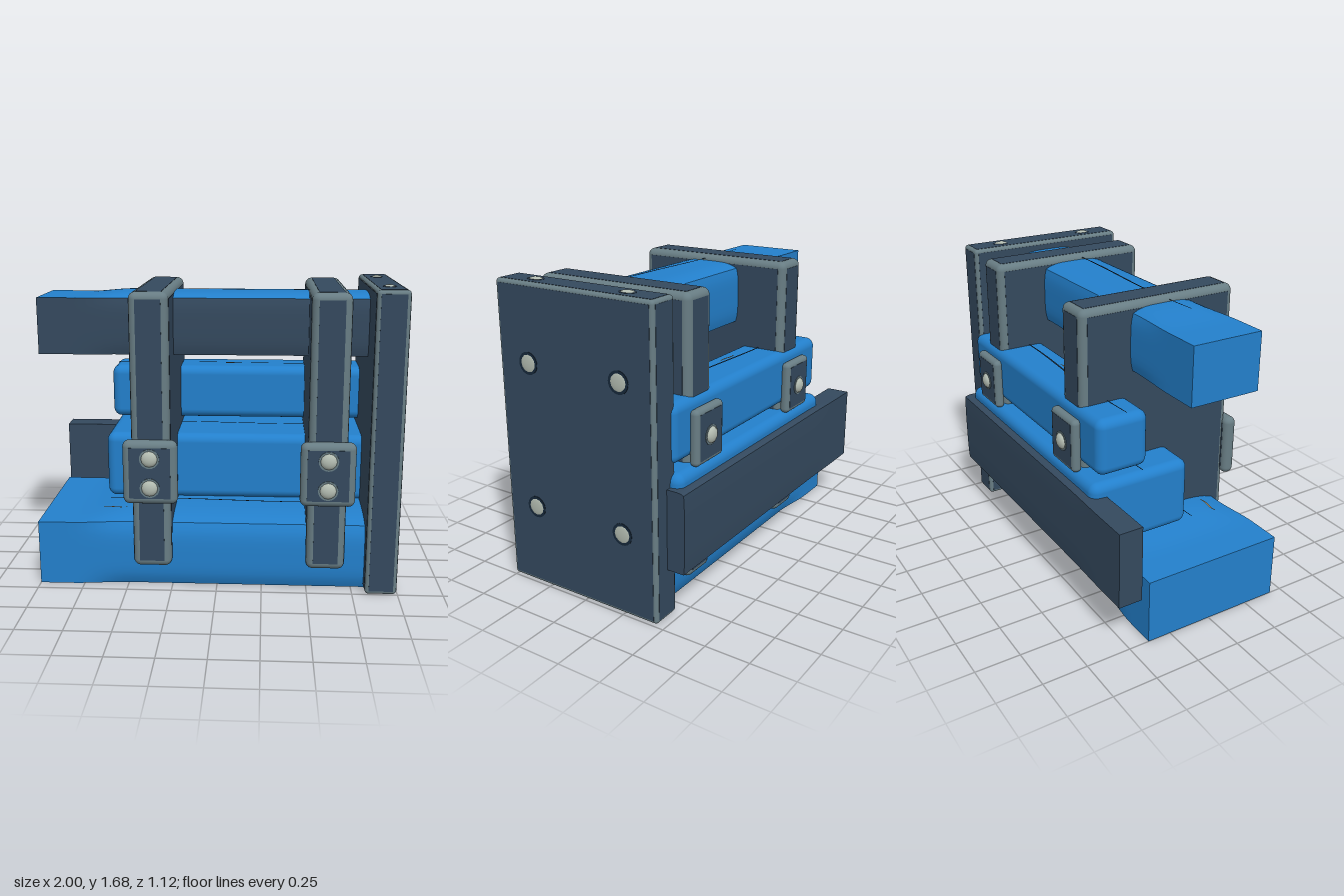
import * as THREE from 'three';
import { RoundedBoxGeometry } from 'three/addons/geometries/RoundedBoxGeometry.js';

const mat = (name, color, side = THREE.FrontSide) => {
  const m = new THREE.MeshStandardMaterial({ color, side });
  m.name = name;
  return m;
};

export function createModel() {
  const model = new THREE.Group();
  const blue = mat('blue', 0x2380cc);
  const slate = mat('slate', 0x34495e);
  const trim = mat('grey trim', 0x687d84);
  const steel = mat('pale steel', 0xb4bdb2);
  const ink = mat('dark line', 0x16283a, THREE.DoubleSide);
  const tan = mat('tan', 0xa8895c, THREE.DoubleSide);

  const add = (name, geo, material, parent = model) => {
    const m = new THREE.Mesh(geo, material);
    m.name = name;
    parent.add(m);
    return m;
  };
  // Every solid is given by its min and max on x, y, z
  const centre = (b) => [0, 2, 4].map((i) => (b[i] + b[i + 1]) / 2);
  const size = (b) => [0, 2, 4].map((i) => b[i + 1] - b[i]);

  // Beam: square at its left end, crowned and softened along the rest
  function beam(name, b, crown, frontMaterial = blue, body = blue) {
    const [w, h, d] = size(b), c = centre(b);
    const geo = new THREE.BoxGeometry(w, h, d, 36, 10, 14);
    const p = geo.attributes.position;
    for (let i = 0; i < p.count; i++) {
      const x = p.getX(i), y = p.getY(i), z = p.getZ(i);
      const s = THREE.MathUtils.smoothstep(x + c[0], -0.82, -0.5);
      const u = (2 * z) / d, v = (2 * y) / h;
      p.setY(i, y + s * crown * (1 - u ** 4) * Math.max(0, v));
      p.setZ(i, z * (1 - s * 0.07 * v ** 4));
    }
    geo.computeVertexNormals();
    const m = add(name, geo, [body, body, body, body, frontMaterial, body]);
    m.position.set(...c);
  }
  beam('bottomBeam', [-1, 0.9, 0, 0.365, -0.385, 0.43], 0.037);
  beam('topBeam', [-1, 0.9, 1.28, 1.592, -0.17, 0.23], 0.026, slate);
  beam('backBoard', [-1, 0.9, 0.28, 0.71, -0.565, -0.43], 0.01, slate, slate);

  // Soft-edged blocks stacked between the beams
  function block(name, b, r) {
    add(name, new RoundedBoxGeometry(...size(b), 5, r), blue).position.set(...centre(b));
  }
  block('middleBlock', [-0.665, 0.87, 0.4, 0.787, -0.52, 0.08], 0.05);
  block('upperBlock', [-0.665, 0.87, 0.825, 1.14, -0.48, -0.18], 0.05);

  // Panel: trim-coloured rounded body with slate showing on each flat face
  function panel(name, b, r) {
    const g = new THREE.Group();
    g.name = name;
    g.position.set(...centre(b));
    const s = size(b);
    add(name + 'Trim', new RoundedBoxGeometry(...s, 4, Math.min(r, Math.min(...s) / 2 - 0.002)), trim, g);
    for (let axis = 0; axis < 3; axis++) {
      const t = s.map((v, i) => (i === axis ? v + 0.003 : v - 2 * r));
      if (Math.min(...t) > 0.01) add(name + 'Face', new THREE.BoxGeometry(...t), slate, g);
    }
    model.add(g);
  }

  // Bolt: flattened dome on a thin washer, facing the given direction
  const up = new THREE.Vector3(0, 1, 0);
  function bolt(name, pos, dir, r, height, washer, sx = 1) {
    const g = new THREE.Group();
    g.name = name;
    g.position.set(...pos);
    g.quaternion.setFromUnitVectors(up, new THREE.Vector3(...dir));
    g.scale.x = sx;
    const dome = new THREE.SphereGeometry(r, 12, 5, 0, Math.PI * 2, 0, Math.PI / 2);
    add(name + 'Head', dome.scale(1, height / r, 1), steel, g);
    add(name + 'Washer', new THREE.CylinderGeometry(r * 1.2, r * 1.2, 0.006, 20), washer, g);
    model.add(g);
  }

  // End plate with four side bolts and two on top
  panel('endPlate', [0.82, 0.993, 0.005, 1.67, -0.46, 0.512], 0.02);
  for (const z of [0.315, -0.255]) {
    for (const y of [1.255, 0.46]) bolt('plateBolt', [0.994, y, z], [1, 0, 0], 0.05, 0.008, ink);
    bolt('plateTopBolt', [0.905, 1.67, z], [0, 1, 0], 0.04, 0.011, slate, 0.75);
  }

  // Two upright slabs, each with a front and a back clamp
  for (const x of [-0.355, 0.6]) {
    panel('upright', [x - 0.105, x + 0.105, 0.13, 1.65, -0.46, 0.48], 0.037);
    panel('frontClamp', [x - 0.148, x + 0.148, 0.51, 0.865, 0.455, 0.53], 0.036);
    for (const y of [0.77, 0.607]) bolt('frontBolt', [x, y, 0.533], [0, 0, 1], 0.045, 0.025, trim);
    panel('backClamp', [x - 0.125, x + 0.125, 0.78, 1.08, -0.525, -0.47], 0.026);
    bolt('backBolt', [x, 0.925, -0.527], [0, 0, -1], 0.045, 0.025, trim);
  }

  // Thin wavy grain strips lying on the upper surfaces
  function grain(name, x0, x1, y, z, material, wave) {
    const geo = new THREE.PlaneGeometry(x1 - x0, 0.011, 28, 1).rotateX(-Math.PI / 2);
    const p = geo.attributes.position;
    for (let i = 0; i < p.count; i++) {
      const t = (p.getX(i) / (x1 - x0) + 0.5) * Math.PI * 2;
      p.setZ(i, p.getZ(i) * (0.4 + 0.6 * Math.sin(t / 2)) - wave * Math.sin(t));
    }
    add(name, geo, material).position.set((x0 + x1) / 2, y, z);
  }
  for (const [y, z] of [[1.628, 0.075], [1.146, -0.3], [0.792, -0.2], [0.408, 0.13]])
    grain('grainLine', -0.64, 0.77, y, z, ink, 0.014);
  grain('grainFleck', -0.03, 0.11, 1.147, -0.277, tan, 0.004);
  grain('grainFleck', 0.69, 0.77, 1.146 + 0.482, 0.14, tan, 0.002);
  grain('grainFleck', -0.66, -0.52, 0.408, 0.28, tan, 0.004);

  return model;
}
